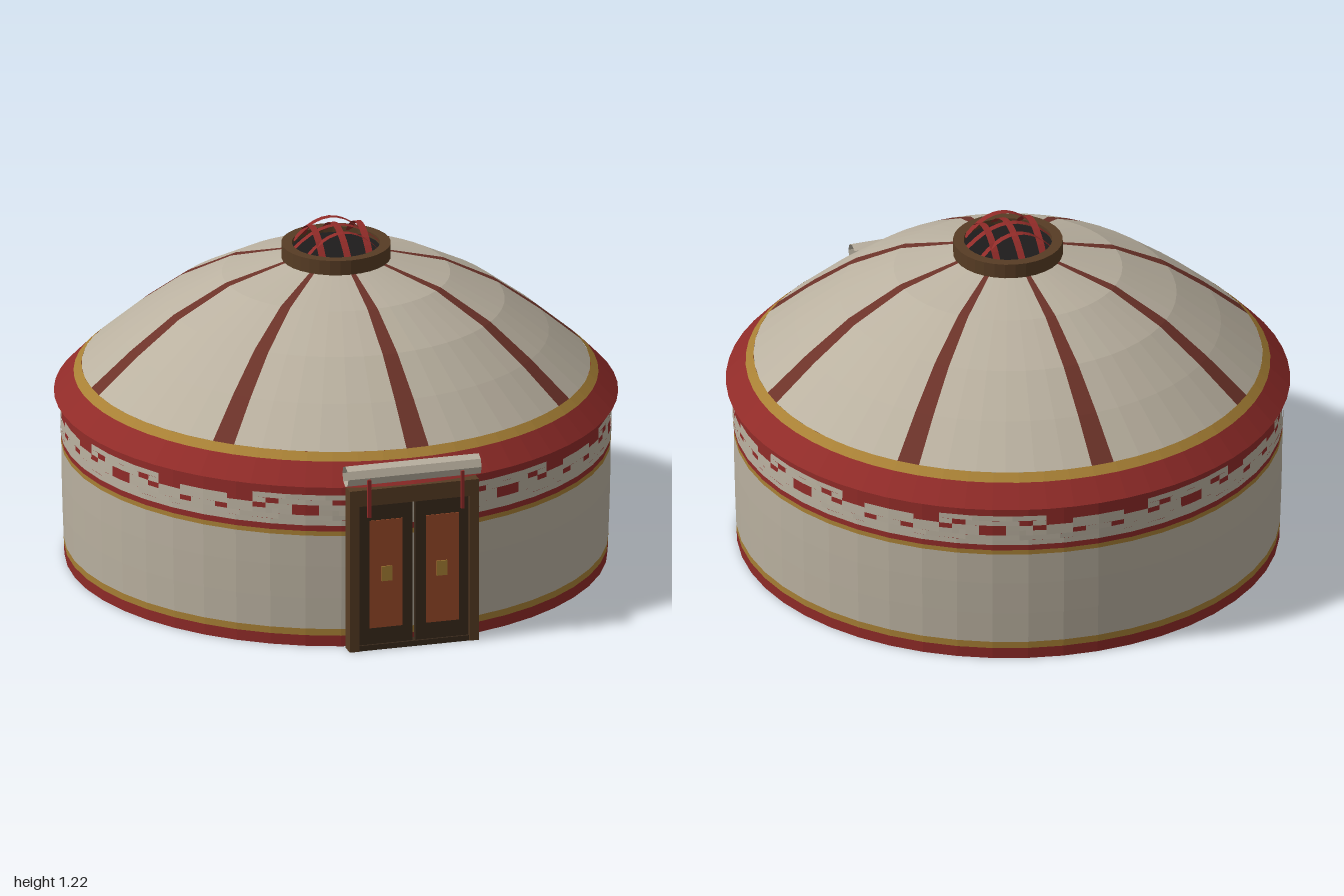
import * as THREE from 'three';
import { mergeGeometries } from 'three/addons/utils/BufferGeometryUtils.js';

const CZ = -0.013; // the round tent sits slightly behind the origin, the door in front
const mat = (color) => new THREE.MeshStandardMaterial({ color, flatShading: true, side: THREE.DoubleSide });
const felt = mat(0xbab1a0), red = mat(0x902b28), gold = mat(0xa88035), rib = mat(0x6c3329);
const wood = mat(0x573c24), darkWood = mat(0x3a2a1c), orange = mat(0x9a4a28), black = mat(0x1e1c1c);

function add(parent, name, geometry, material, x = 0, y = 0, z = 0) {
  const mesh = new THREE.Mesh(geometry, material);
  mesh.name = name;
  mesh.position.set(x, y, z);
  parent.add(mesh);
  return mesh;
}
const lathe = (pts, segs, start = 0, length = Math.PI * 2) =>
  new THREE.LatheGeometry(pts.map(([r, y]) => new THREE.Vector2(r, y)), segs, start, length);

// Wall radius bulges a little in the middle
const wallR = (y) => 0.95 + 0.011 * Math.sin(Math.min(1, y / 0.7) * Math.PI * 0.8);

function buildWall(tent) {
  const bands = [
    ['wallFootBand', red, [0, 0.04]],
    ['wallLowerTrim', gold, [0.04, 0.065]],
    ['wallFelt', felt, [0.065, 0.18, 0.3, 0.415]],
    ['wallMiddleTrim', gold, [0.415, 0.432]],
    ['wallPatternBand', red, [0.432, 0.597]],
    ['wallUpperTrim', gold, [0.597, 0.612]],
  ];
  for (const [name, material, ys] of bands) {
    add(tent, name, lathe(ys.map((y) => [wallR(y), y]), 48), material);
  }
}

// Stepped ornament: half a motif, mirrored and repeated eight times on both faces
function buildOrnament(tent) {
  const rows = [
    '....#####.......',
    '##..#...##......',
    '####.##..##.....',
    '..##.##...##...#',
    '###...##..###.##',
    '........########',
  ];
  const cell = Math.PI / 64, h = 0.0188, top = 0.567;
  const parts = [];
  rows.forEach((row, i) => {
    const y1 = top - i * h, y0 = y1 - h;
    for (const run of row.matchAll(/#+/g)) {
      const n = run[0].length;
      for (let k = 0; k < 8; k++) {
        for (const side of [1, -1]) {
          const a = run.index * cell, b = a + n * cell;
          const start = k * Math.PI / 4 + (side > 0 ? a : -b);
          for (const off of [0.003, -0.005]) {
            parts.push(lathe([[wallR(y0) + off, y0], [wallR(y1) + off, y1]], Math.ceil(n / 3), start, b - a));
          }
        }
      }
    }
  });
  add(tent, 'wallOrnament', mergeGeometries(parts), felt);
}

function buildRoof(tent) {
  add(tent, 'eave', lathe([[0.987, 0.605], [0.918, 0.677]], 64), red);
  add(tent, 'eaveTrim', lathe([[0.918, 0.677], [0.89, 0.703]], 64), gold);
  const profile = [[0.89, 0.703], [0.745, 0.828], [0.59, 0.945], [0.4, 1.045], [0.18, 1.105]];
  const step = Math.PI / 4, ribAngle = 0.092;
  for (let k = 0; k < 8; k++) {
    add(tent, 'roofStrap', lathe(profile, 1, k * step, ribAngle), rib);
    add(tent, 'roofFelt', lathe(profile, 6, k * step + ribAngle, step - ribAngle), felt);
  }
}

// Crown ring with a lattice of arched ribbons over a dark opening
function buildCrown(tent) {
  add(tent, 'crownRing', lathe([[0.155, 1.1], [0.192, 1.1], [0.192, 1.155], [0.155, 1.155], [0.155, 1.1]], 32), wood);
  add(tent, 'crownOpening', new THREE.CircleGeometry(0.157, 32).rotateX(-Math.PI / 2), black, 0, 1.135, 0);
  for (const turn of [0, Math.PI / 2]) {
    for (const offset of [-0.085, 0, 0.085]) {
      const half = offset ? 0.13 : 0.155;
      const g = new THREE.PlaneGeometry(0.025, half * 2, 1, 10).rotateX(-Math.PI / 2);
      const p = g.attributes.position;
      for (let i = 0; i < p.count; i++) p.setY(i, 0.075 * (1 - (p.getZ(i) / half) ** 2));
      g.translate(offset, 1.145, 0).rotateY(turn);
      g.computeVertexNormals();
      add(tent, 'crownArch', g, red);
    }
  }
}

function buildDoor(group) {
  const door = new THREE.Group();
  door.name = 'door';
  group.add(door);
  const box = (name, m, w, h, d, x, y, z) => add(door, name, new THREE.BoxGeometry(w, h, d), m, x, y, z);
  box('doorHeader', wood, 0.47, 0.06, 0.055, 0, 0.57, 0.9475);
  box('doorSill', darkWood, 0.4, 0.02, 0.05, 0, 0.01, 0.9475);
  for (const s of [-1, 1]) {
    box('doorPost', wood, 0.035, 0.54, 0.055, s * 0.2175, 0.27, 0.9475);
    box('doorLeaf', darkWood, 0.194, 0.518, 0.018, s * 0.102, 0.281, 0.962);
    box('doorPanel', orange, 0.12, 0.4, 0.006, s * 0.103, 0.283, 0.971);
    box('doorPlate', gold, 0.038, 0.055, 0.006, s * 0.1, 0.283, 0.975);
    // Ties holding the rolled door flap
    box('flapTie', red, 0.012, 0.14, 0.01, s * 0.17, 0.575, 0.995);
  }
  // Rolled felt flap above the door, open at its ends
  const roll = new THREE.CylinderGeometry(0.038, 0.038, 0.485, 8, 1, true).rotateZ(Math.PI / 2);
  add(door, 'doorFlapRoll', roll, felt, -0.003, 0.651, 0.956);
}

export function createModel() {
  const group = new THREE.Group();
  group.name = 'yurt';
  const tent = new THREE.Group();
  tent.name = 'tent';
  tent.position.z = CZ;
  group.add(tent);
  buildWall(tent);
  buildOrnament(tent);
  buildRoof(tent);
  buildCrown(tent);
  buildDoor(group);
  return group;
}
